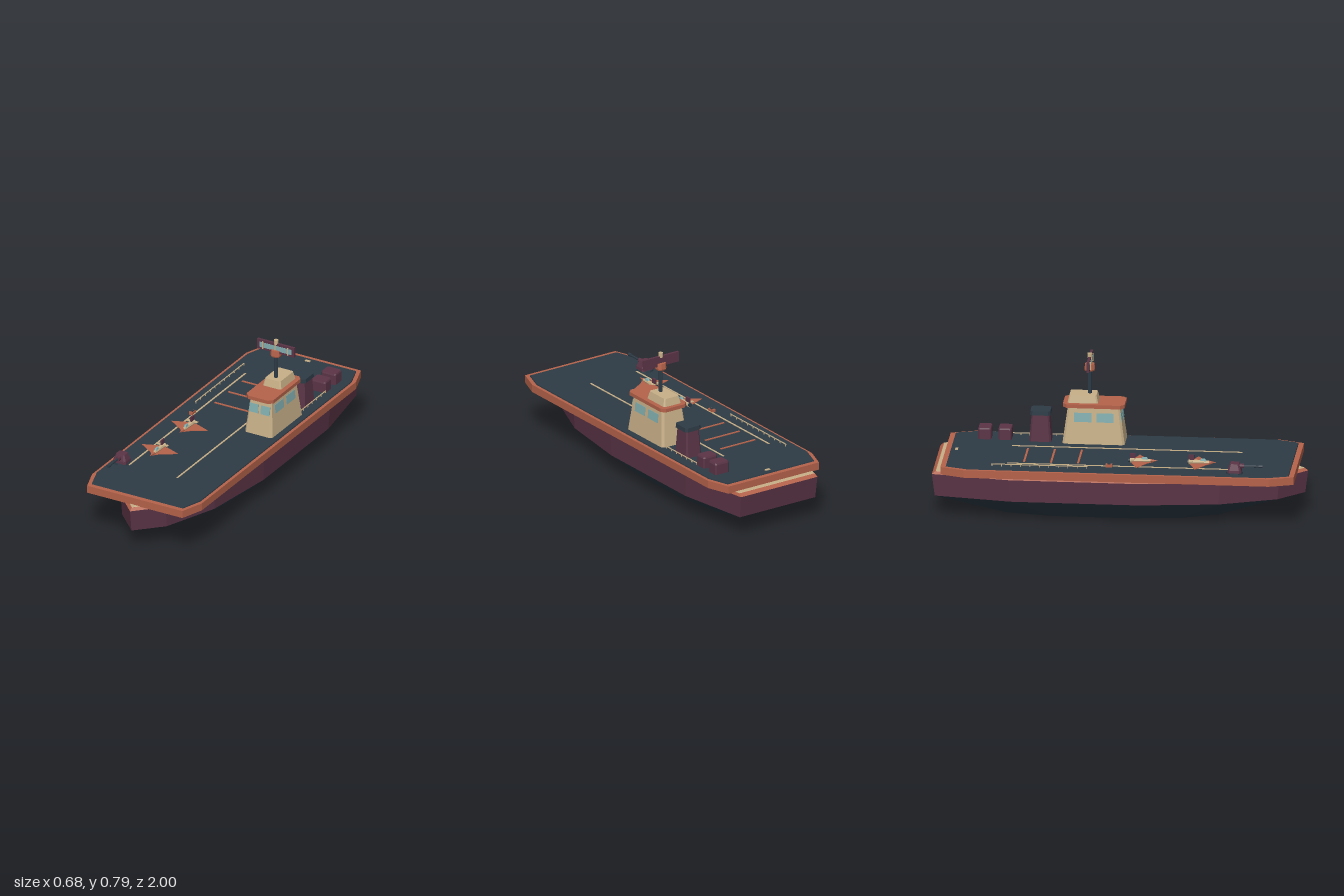
import * as THREE from 'three';

const mat = (name, color) => Object.assign(new THREE.MeshStandardMaterial({ color }), { name });
const navy = mat('navy', 0x2d3b46);
const purple = mat('plum', 0x5b3446);
const orange = mat('rust', 0xb5624a);
const tan = mat('sand', 0xc8b088);
const teal = mat('glass', 0x82aeb0);

// Rectangle with cut corners, counter-clockwise seen from above
function cutRect(w, d, cx, cz = cx) {
  const x = w / 2, z = d / 2;
  return [[x - cx, z], [x, z - cz], [x, cz - z], [x - cx, -z],
    [cx - x, -z], [-x, cz - z], [-x, z - cz], [cx - x, z]];
}

// Closed flat-sided solid: one convex outline scaled at each layer [y, scaleX, scaleZ]
function loft(outline, layers) {
  const pos = [];
  const n = outline.length;
  const p = (i, [y, kx, kz = kx]) => [outline[i % n][0] * kx, y, outline[i % n][1] * kz];
  const bottom = layers[0], top = layers[layers.length - 1];
  for (let i = 0; i < n; i++) {
    for (let k = 0; k + 1 < layers.length; k++) {
      const a = p(i, layers[k]), b = p(i + 1, layers[k]);
      const c = p(i, layers[k + 1]), d = p(i + 1, layers[k + 1]);
      pos.push(...a, ...b, ...d, ...a, ...d, ...c);
    }
    pos.push(0, top[0], 0, ...p(i, top), ...p(i + 1, top));
    pos.push(0, bottom[0], 0, ...p(i + 1, bottom), ...p(i, bottom));
  }
  const g = new THREE.BufferGeometry();
  g.setAttribute('position', new THREE.Float32BufferAttribute(pos, 3));
  g.computeVertexNormals();
  return g;
}

function add(parent, name, geo, material, x = 0, y = 0, z = 0) {
  const m = new THREE.Mesh(geo, material);
  m.name = name;
  m.position.set(x, y, z);
  parent.add(m);
  return m;
}
const box = (w, h, d) => new THREE.BoxGeometry(w, h, d);
const cyl = (r1, r2, h, n = 8) => new THREE.CylinderGeometry(r1, r2, h, n).toNonIndexed();

function group(parent, name, x = 0, y = 0, z = 0) {
  const g = new THREE.Group();
  g.name = name;
  g.position.set(x, y, z);
  parent.add(g);
  return g;
}

function buildHull(root) {
  const g = group(root, 'hull');
  const side = [[0.14, 0.86], [0.26, 0.55], [0.318, 0.12], [0.318, -0.58], [0.25, -1]];
  const outline = [[0, 1], ...side, ...side.map(([x, z]) => [-x, z]).reverse()];
  add(g, 'lowerHull', loft(outline, [[0, 0.61], [0.113, 0.985]]), navy);
  add(g, 'upperHull', loft(outline, [[0.113, 0.985], [0.235, 1]]), purple);
  add(g, 'hullTrim', loft(outline, [[0.235, 1], [0.25, 0.983]]), orange);
  add(g, 'hullTop', loft(outline, [[0.25, 0.98], [0.252, 0.978]]), tan);
  add(g, 'deckEdge', loft(cutRect(0.68, 1.9, 0.045, 0.13), [[0.249, 1], [0.291, 1]]), orange);
  add(g, 'deck', loft(cutRect(0.645, 1.845, 0.04, 0.12), [[0.291, 1], [0.297, 0.998]]), navy);
}

function buildMarkings(root) {
  const g = group(root, 'deckMarkings');
  for (const x of [-0.215, 0.083]) add(g, 'runwayLine', box(0.009, 0.003, 1.24), tan, x, 0.2985, 0.02);
  for (const z of [-0.51, -0.365, -0.22]) add(g, 'arrestLine', box(0.225, 0.004, 0.011), orange, -0.073, 0.299, z);
  add(g, 'sternMark', box(0.03, 0.004, 0.015), tan, 0, 0.299, -0.89);
  // Low rails on short posts
  for (const [x, z0, z1] of [[-0.27, -0.68, -0.16], [0.27, -0.62, -0.33]]) {
    const rail = group(g, 'railing', x, 0, (z0 + z1) / 2);
    add(rail, 'rail', box(0.005, 0.004, z1 - z0), tan, 0, 0.309, 0);
    const n = Math.round((z1 - z0) / 0.05);
    for (let i = 0; i <= n; i++) {
      add(rail, 'post', box(0.004, 0.012, 0.004), tan, 0, 0.302, (i / n - 0.5) * (z1 - z0) * 0.98);
    }
  }
}

function buildIsland(root) {
  const g = group(root, 'island', 0.21, 0, -0.167);
  add(g, 'bridge', loft(cutRect(0.17, 0.335, 0.012), [[0.304, 1], [0.505, 0.765, 0.836]]), tan);
  add(g, 'roof', loft(cutRect(0.166, 0.332, 0.022), [[0.505, 1], [0.525, 1]]), orange);
  add(g, 'upperHouse', loft(cutRect(0.114, 0.165, 0.008), [[0.525, 1], [0.567, 0.83, 0.88]]), tan)
    .position.z = -0.06;
  // Windows lie on the sloping walls
  for (const s of [-1, 1]) {
    add(g, 'frontWindow', box(0.056, 0.05, 0.004), teal, s * 0.035, 0.45, 0.1478).rotation.x = -0.136;
    for (const z of [-0.058, 0.062]) {
      add(g, 'sideWindow', box(0.004, 0.05, 0.092), teal, s * 0.0708, 0.45, z).rotation.z = s * 0.0992;
    }
  }
  // Mast and radar
  const r = group(g, 'radar', 0, 0, -0.027);
  add(r, 'mast', cyl(0.011, 0.011, 0.13), navy, 0, 0.631, 0);
  add(r, 'hub', loft(cutRect(0.056, 0.056, 0.014), [[0.695, 0.9], [0.703, 1], [0.733, 0.88]]), orange);
  add(r, 'antenna', box(0.23, 0.057, 0.014), purple, 0, 0.7435, 0);
  add(r, 'antennaPanel', box(0.198, 0.03, 0.004), teal, 0, 0.743, 0.007);
  for (const x of [-0.077, 0.077]) add(r, 'strut', box(0.006, 0.044, 0.006), tan, x, 0.743, 0.01);
  add(r, 'antennaStem', box(0.005, 0.05, 0.006), tan, 0, 0.745, 0.01);
  add(r, 'beacon', cyl(0.013, 0.013, 0.026), tan, 0, 0.778, 0);
}

function buildFunnel(root) {
  const g = group(root, 'funnel', 0.215, 0, -0.457);
  add(g, 'stack', loft(cutRect(0.1, 0.118, 0.01), [[0.297, 1], [0.447, 0.83, 0.8]]), purple);
  add(g, 'stackCap', loft(cutRect(0.102, 0.11, 0.012), [[0.445, 1], [0.468, 0.97]]), navy);
  for (const z of [-0.648, -0.757]) {
    add(root, 'deckCrate', loft(cutRect(0.09, 0.072, 0.008), [[0.297, 1], [0.352, 1], [0.36, 0.92]]), purple, 0.225, 0, z);
  }
  // Small deck winch
  add(root, 'winch', box(0.022, 0.016, 0.036), orange, -0.225, 0.305, -0.05);
  add(root, 'winchDrum', box(0.014, 0.006, 0.016), navy, -0.225, 0.315, -0.05);
}

function buildGun(root) {
  const g = group(root, 'gun', -0.265, 0, 0.63);
  add(g, 'gunBase', cyl(0.044, 0.046, 0.01, 12), navy, 0, 0.302, 0);
  add(g, 'turret', loft(cutRect(0.08, 0.074, 0.01), [[0.305, 1], [0.32, 0.96], [0.354, 0.64]]), purple);
  const parts = [['mantlet', 0.013, 0.03, 0.035, purple], ['barrel', 0.006, 0.1, 0.085, navy], ['muzzle', 0.009, 0.022, 0.139, navy]];
  for (const [name, r, len, z, m] of parts) add(g, name, cyl(r, r, len), m, 0, 0.338, z).rotation.x = Math.PI / 2;
}

function buildAircraft(root, z) {
  const g = group(root, 'aircraft', -0.155, 0, z);
  // Delta wing drawn in plan, nose toward +z
  const half = [[0.028, 0.055], [0.112, 0.0], [0.03, -0.032]];
  const plan = [[0, 0.085], ...half, ...half.map(([x, y]) => [-x, y]).reverse()];
  const wing = new THREE.ExtrudeGeometry(new THREE.Shape(plan.map(([x, y]) => new THREE.Vector2(x, y))), { depth: 0.003, bevelEnabled: false });
  wing.rotateX(Math.PI / 2);
  add(g, 'wing', wing, orange, 0, 0.311, 0);
  const body = add(g, 'fuselage', cyl(0.009, 0.015, 0.11), tan, 0, 0.316, 0.012);
  body.rotation.x = Math.PI / 2;
  const nose = add(g, 'nose', cyl(0.001, 0.009, 0.038), orange, 0, 0.316, 0.086);
  nose.rotation.x = Math.PI / 2;
  add(g, 'canopy', loft(cutRect(0.016, 0.04, 0.004), [[0.32, 1], [0.334, 0.6]]), teal, 0, 0, 0.035);
  add(g, 'tailplane', box(0.066, 0.004, 0.018), tan, 0, 0.324, -0.028);
  add(g, 'fin', box(0.009, 0.034, 0.03), purple, 0, 0.338, -0.028);
  add(g, 'exhaust', cyl(0.011, 0.011, 0.012), navy, 0, 0.316, -0.046).rotation.x = Math.PI / 2;
}

export function createModel() {
  const root = new THREE.Group();
  root.name = 'carrierShip';
  buildHull(root);
  buildMarkings(root);
  buildIsland(root);
  buildFunnel(root);
  buildGun(root);
  for (const z of [0.1, 0.415]) buildAircraft(root, z);
  // Faceted look for the small round parts
  root.traverse((o) => { if (o.isMesh) o.geometry.computeVertexNormals(); });
  return root;
}
